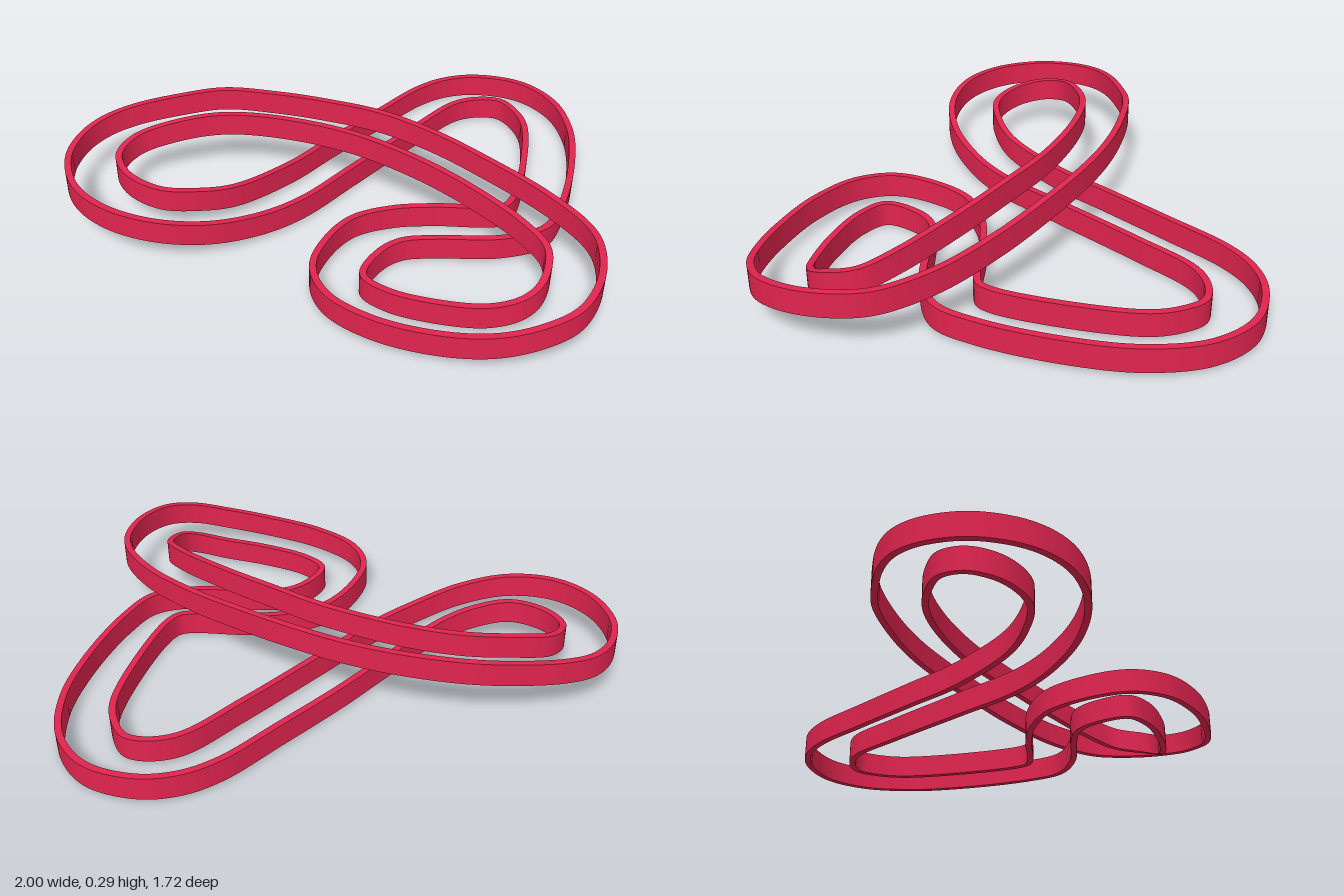
import * as THREE from 'three';
import { toCreasedNormals } from 'three/addons/utils/BufferGeometryUtils.js';

const THICK = 0.025, HEIGHT = 0.09, STEPS = 400;

// Each point: x, bottom height, z along the centre line of the wall
const wallA = [
  [0.64, 0.015, -0.85], [0.5, 0.015, -0.825], [0.38, 0.015, -0.75], [0.2, 0.015, -0.555], [0.0, 0.015, -0.33],
  [-0.15, 0.02, -0.15], [-0.35, 0.05, 0.05], [-0.48, 0.075, 0.115], [-0.62, 0.095, 0.135], [-0.75, 0.108, 0.06],
  [-0.8, 0.12, -0.05], [-0.75, 0.14, -0.145], [-0.6, 0.17, -0.205], [-0.42, 0.19, -0.232], [-0.2, 0.2, -0.2],
  [0.08, 0.205, -0.1], [0.3, 0.2, 0.03], [0.5, 0.18, 0.175], [0.7, 0.145, 0.36], [0.77, 0.12, 0.47],
  [0.74, 0.085, 0.6], [0.68, 0.055, 0.647], [0.57, 0.025, 0.66], [0.4, 0.013, 0.635], [0.22, 0.007, 0.57],
  [0.14, 0.005, 0.49], [0.2, 0.006, 0.36], [0.28, 0.008, 0.3], [0.4, 0.01, 0.285], [0.64, 0.013, 0.28],
  [0.8, 0.015, 0.22], [0.88, 0.015, 0.08], [0.96, 0.015, -0.2], [0.985, 0.015, -0.45], [0.94, 0.015, -0.66], [0.82, 0.015, -0.8],
];
const wallB = [
  [0.64, 0.015, -0.665], [0.53, 0.015, -0.63], [0.35, 0.015, -0.44], [0.1, 0.015, -0.15], [-0.1, 0.017, 0.08],
  [-0.25, 0.03, 0.2], [-0.43, 0.06, 0.295], [-0.62, 0.092, 0.325], [-0.8, 0.112, 0.275], [-0.93, 0.12, 0.155],
  [-0.987, 0.127, -0.02], [-0.96, 0.135, -0.17], [-0.89, 0.145, -0.27], [-0.78, 0.16, -0.335], [-0.6, 0.18, -0.385],
  [-0.43, 0.197, -0.407], [-0.2, 0.2, -0.375], [0.0, 0.203, -0.32], [0.2, 0.208, -0.24], [0.4, 0.198, -0.125],
  [0.6, 0.175, 0.02], [0.8, 0.155, 0.2], [0.92, 0.147, 0.37], [0.945, 0.145, 0.48], [0.92, 0.137, 0.64],
  [0.84, 0.122, 0.77], [0.73, 0.102, 0.828], [0.58, 0.07, 0.847], [0.4, 0.05, 0.825], [0.18, 0.04, 0.75],
  [0.02, 0.036, 0.63], [-0.035, 0.033, 0.49], [0.0, 0.028, 0.34], [0.1, 0.021, 0.19], [0.25, 0.016, 0.12],
  [0.4, 0.014, 0.1], [0.66, 0.014, 0.093], [0.7, 0.015, 0.05], [0.77, 0.015, -0.2], [0.8, 0.015, -0.47],
  [0.77, 0.015, -0.58], [0.72, 0.015, -0.65],
];

// Sweep an upright rectangle around a closed path
function wallGeometry(path) {
  const curve = new THREE.CatmullRomCurve3(path.map(p => new THREE.Vector3(...p)), true, 'centripetal');
  const corners = [[-0.5, 0], [0.5, 0], [0.5, 1], [-0.5, 1]];
  const positions = [], index = [];
  for (let i = 0; i < STEPS; i++) {
    const p = curve.getPointAt(i / STEPS), t = curve.getTangentAt(i / STEPS);
    const side = new THREE.Vector3(t.z, 0, -t.x).normalize();
    for (const [u, v] of corners) {
      positions.push(p.x + side.x * u * THICK, p.y + v * HEIGHT, p.z + side.z * u * THICK);
    }
    const r = i * 4, n = ((i + 1) % STEPS) * 4;
    for (let a = 0; a < 4; a++) {
      const b = (a + 1) % 4;
      index.push(r + a, r + b, n + b, r + a, n + b, n + a);
    }
  }
  const g = new THREE.BufferGeometry();
  g.setAttribute('position', new THREE.Float32BufferAttribute(positions, 3));
  g.setIndex(index);
  return toCreasedNormals(g, Math.PI / 5);
}

export function createModel() {
  const group = new THREE.Group();
  group.name = 'trackWalls';
  const red = new THREE.MeshStandardMaterial({ color: 0xe0244e });
  // The two side walls of the winding track
  for (const [name, path] of [['firstSideWall', wallA], ['secondSideWall', wallB]]) {
    const mesh = new THREE.Mesh(wallGeometry(path), red);
    mesh.name = name;
    group.add(mesh);
  }
  return group;
}
